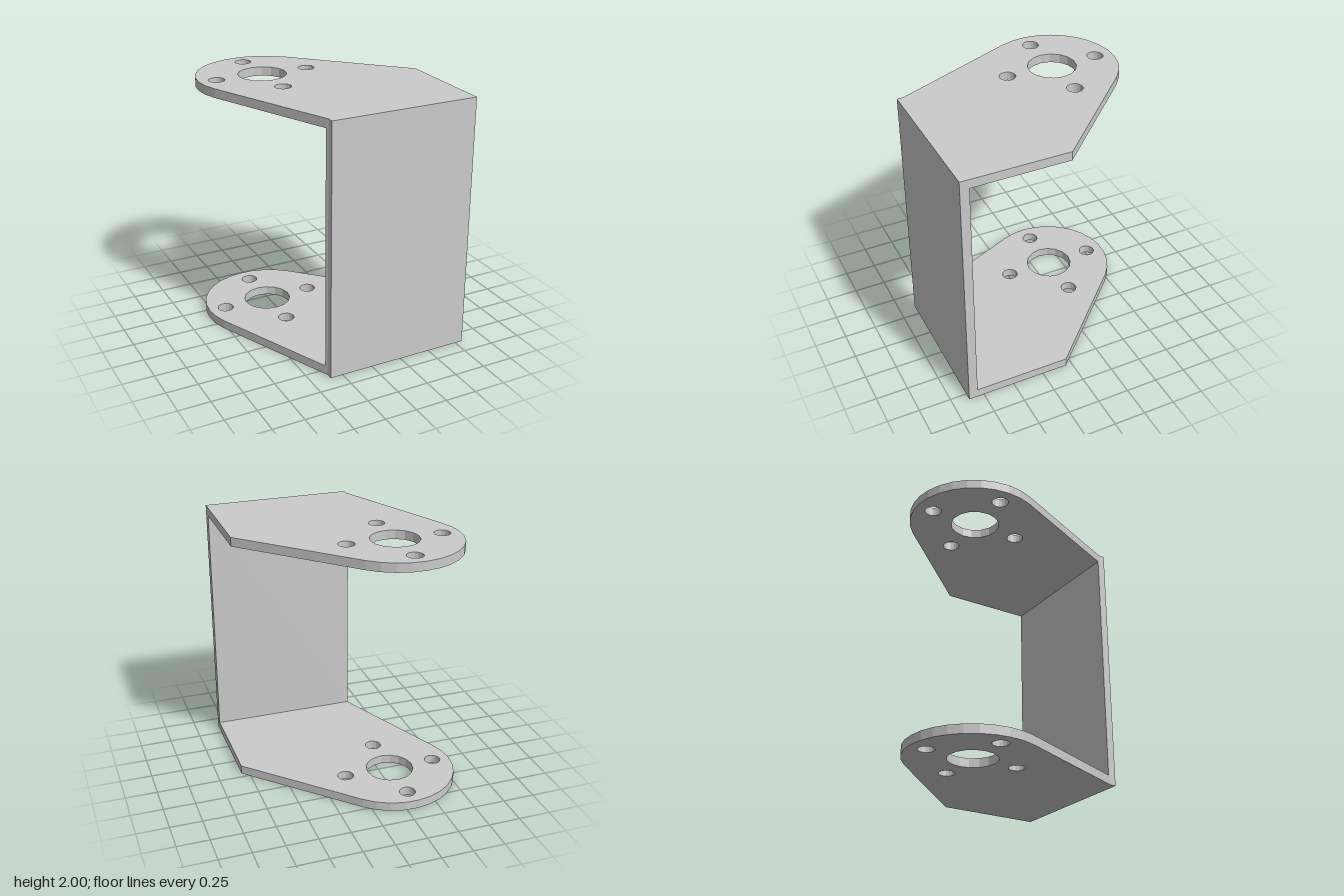
import * as THREE from 'three';

const T = 0.07;          // sheet thickness
const H = 2;             // overall height
const CX = -0.305, CZ = -0.36; // centre of the rounded end

const material = new THREE.MeshStandardMaterial({ color: 0xcccccc, flatShading: true });

// Points along an arc, in plan (x, -z)
function arc(x, z, r, fromDeg, toDeg, n) {
  return Array.from({ length: n + 1 }, (_, i) => {
    const a = THREE.MathUtils.degToRad(fromDeg + (toDeg - fromDeg) * i / n);
    return new THREE.Vector2(x + r * Math.cos(a), -z + r * Math.sin(a));
  });
}

// Extrude a plan outline upward from height y
function slab(name, points, holes, y, height) {
  const shape = new THREE.Shape(points);
  for (const [x, z, r] of holes) {
    shape.holes.push(new THREE.Path(arc(x, z, r, 0, 360, 16).slice(0, 16)));
  }
  const geometry = new THREE.ExtrudeGeometry(shape, { depth: height, bevelEnabled: false });
  geometry.rotateX(-Math.PI / 2);
  const mesh = new THREE.Mesh(geometry, material);
  mesh.name = name;
  mesh.position.y = y;
  return mesh;
}

export function createModel() {
  const group = new THREE.Group();
  group.name = 'mountingBracket';
  const p = (x, z) => new THREE.Vector2(x, -z);

  // Flange plan: rounded end tapering out to the wall
  const outline = [
    p(-0.36, 0.80), p(-0.35, 0.82), p(-0.35, 0.87), p(0.81, 0.87), p(0.81, 0.05),
    ...arc(CX, CZ, 0.51, 45, 203, 13),
  ];

  // Central bore and four bolt holes
  const holes = [[CX, CZ, 0.187]];
  for (let i = 0; i < 4; i++) {
    const a = i * Math.PI / 2;
    holes.push([CX + 0.372 * Math.cos(a), CZ + 0.372 * Math.sin(a), 0.063]);
  }
  group.add(slab('bottomFlange', outline, holes, 0, T));
  group.add(slab('topFlange', outline, holes, H - T, T));

  // Upright wall joining the flanges
  const wall = [p(-0.36, 0.80), p(-0.35, 0.82), p(-0.35, 0.87), p(0.81, 0.87), p(0.81, 0.80)];
  group.add(slab('frontWall', wall, [], T, H - 2 * T));

  return group;
}
